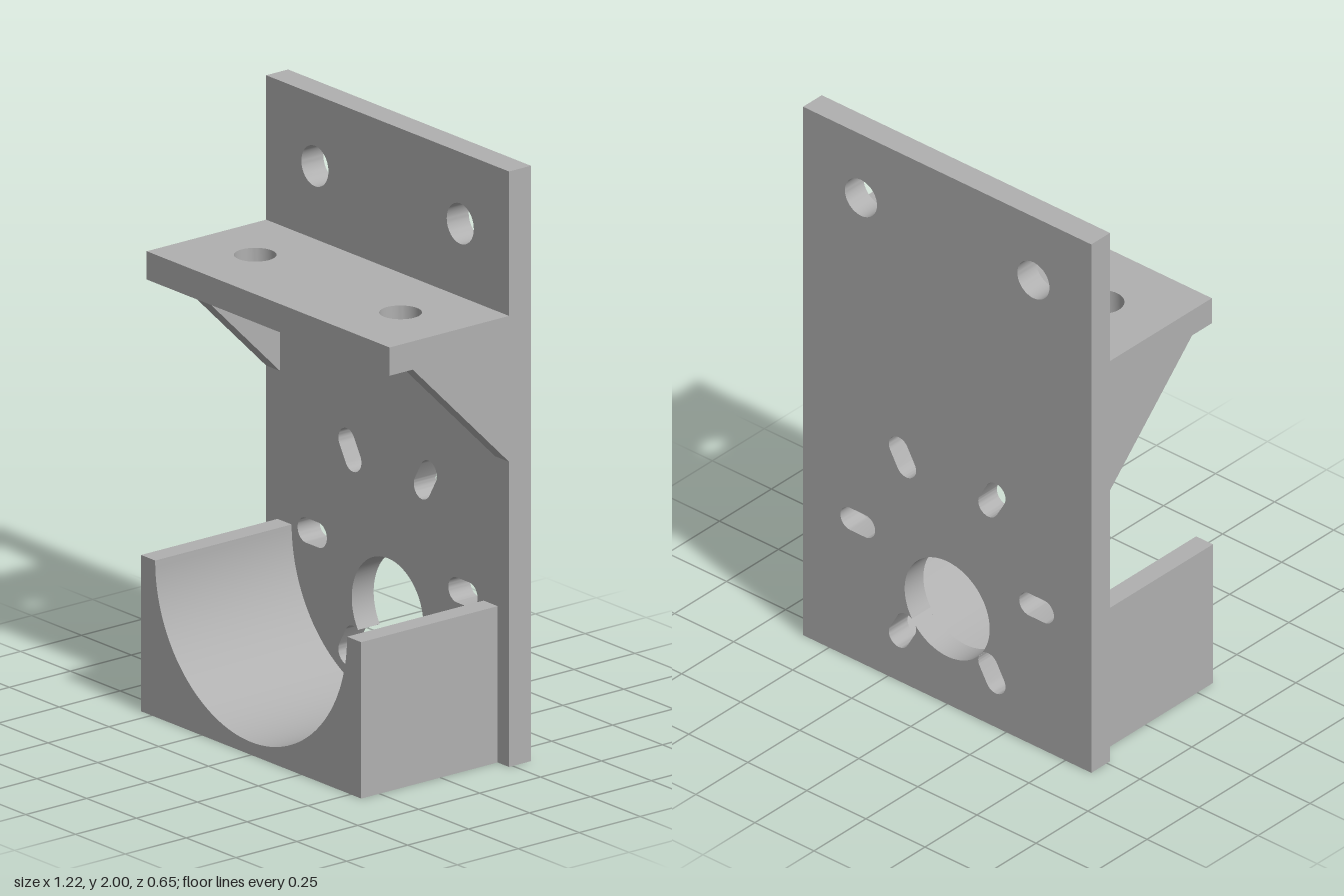
import * as THREE from 'three';
import { toCreasedNormals } from 'three/addons/utils/BufferGeometryUtils.js';

const PI = Math.PI;

// Points along an arc, from angle a to angle b
function arc(x, y, r, a, b, n = 24) {
  return Array.from({ length: n + 1 }, (_, i) => {
    const t = a + ((b - a) * i) / n;
    return new THREE.Vector2(x + r * Math.cos(t), y + r * Math.sin(t));
  });
}

const roundHole = (x, y, r) => new THREE.Path(arc(x, y, r, 0, 2 * PI, 48).slice(0, -1));

function rectangle(x0, y0, x1, y1) {
  return new THREE.Shape([[x0, y0], [x1, y0], [x1, y1], [x0, y1]].map(p => new THREE.Vector2(...p)));
}

function extrude(shape, depth) {
  return toCreasedNormals(new THREE.ExtrudeGeometry(shape, { depth, bevelEnabled: false }), 0.5);
}

// Radial motor slots lie on a circle around this centre
const AXIS_Y = 0.525, SLOT_R = 0.042, INNER = 0.347, OUTER = 0.41;
const slotEnd = (a, d) => [d * Math.cos(a), AXIS_Y + d * Math.sin(a), SLOT_R];

// Slot outline, leaving a gap in the inner cap between the angles "from" and "to"
function slotPoints(a, from = a + PI, to = a + PI) {
  return [
    ...arc(...slotEnd(a, INNER), from, a + 1.5 * PI, 12),
    ...arc(...slotEnd(a, OUTER), a - PI / 2, a + PI / 2, 20),
    ...arc(...slotEnd(a, INNER), a + PI / 2, to, 12),
  ];
}

// Shaft hole joined by narrow gaps to the two lower slots
function shaftHole() {
  const cy = 0.36, r = 0.18, gap = 0.012;
  const dSlot = Math.asin(gap / SLOT_R), dHole = Math.asin(gap / r);
  const points = [];
  const angles = [(4 * PI) / 3, (5 * PI) / 3];
  const facing = angles.map(a => {
    const [x, y] = slotEnd(a, INNER);
    return Math.atan2(y - cy, x) + 2 * PI;
  });
  angles.forEach((a, i) => {
    const inward = facing[i] + PI;
    const beta = inward + 2 * PI * Math.round((a + PI - inward) / (2 * PI));
    points.push(...slotPoints(a, beta + dSlot, beta - dSlot));
    const end = i === 0 ? facing[1] : facing[0] + 2 * PI;
    points.push(...arc(0, cy, r, facing[i] + dHole, end - dHole, i === 0 ? 16 : 40));
  });
  return new THREE.Path(points);
}

export function createModel() {
  const model = new THREE.Group();
  model.name = 'motorBracket';
  const grey = new THREE.MeshStandardMaterial({ color: 0xb0b0b0 });
  grey.name = 'grey';

  const add = (name, geometry, x = 0, y = 0, z = 0) => {
    const mesh = new THREE.Mesh(geometry, grey);
    mesh.name = name;
    mesh.position.set(x, y, z);
    model.add(mesh);
    return mesh;
  };

  // Back plate with mounting holes, slots and shaft hole
  const plate = rectangle(-0.61, 0, 0.61, 2);
  for (const s of [-1, 1]) plate.holes.push(roundHole(s * 0.365, 1.76, 0.068));
  for (const k of [0, 1, 2, 3]) {
    const pts = slotPoints((k * PI) / 3);
    plate.holes.push(new THREE.Path(pts.slice(0, -1)));
  }
  plate.holes.push(shaftHole());
  add('backPlate', extrude(plate, 0.09), 0, 0, -0.325);

  // Shelf with two vertical holes, drawn flat and laid down
  const shelf = rectangle(-0.61, -0.255, 0.61, 0.235);
  for (const s of [-1, 1]) shelf.holes.push(roundHole(s * 0.365, -0.01, 0.068));
  add('shelf', extrude(shelf, 0.095).rotateX(-PI / 2), 0, 1.42, 0);

  // Triangular gussets under the shelf
  const triangle = new THREE.Shape([
    new THREE.Vector2(0.235, 1.025),
    new THREE.Vector2(0.235, 1.42),
    new THREE.Vector2(-0.16, 1.42),
  ]);
  for (const s of [-1, 1]) {
    const geometry = extrude(triangle, 0.07).rotateY(PI / 2);
    add(s > 0 ? 'leftGusset' : 'rightGusset', geometry, s > 0 ? 0.54 : -0.61);
  }

  // Half-round cradle for the motor body
  const cradle = new THREE.Shape([
    new THREE.Vector2(-0.553, AXIS_Y),
    new THREE.Vector2(-0.553, 0),
    new THREE.Vector2(0.553, 0),
    new THREE.Vector2(0.553, AXIS_Y),
    ...arc(0, AXIS_Y, 0.482, 0, -PI, 64),
  ]);
  add('motorCradle', extrude(cradle, 0.56), 0, 0, -0.235);

  return model;
}
